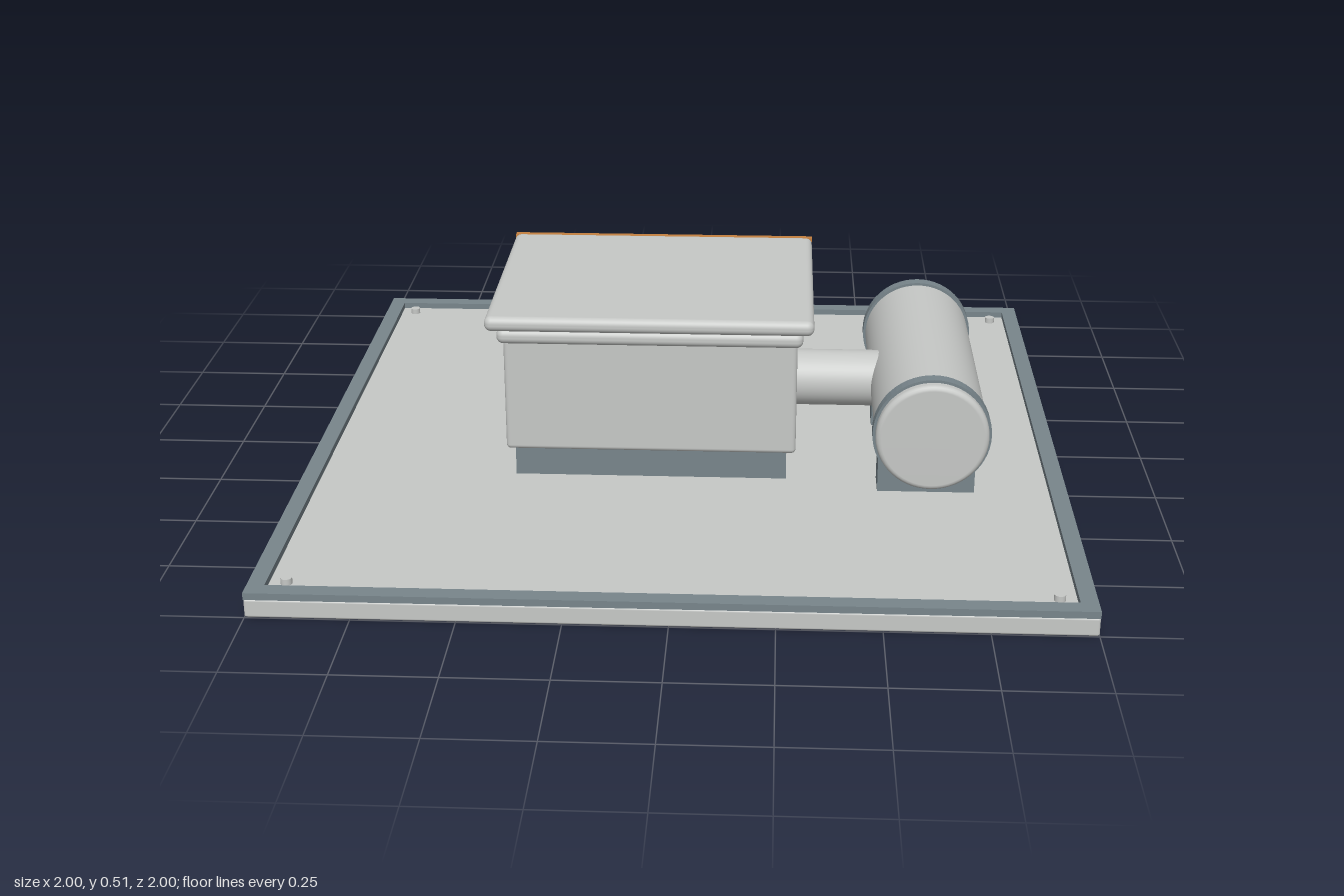
import * as THREE from 'three';
import { RoundedBoxGeometry } from 'three/addons/geometries/RoundedBoxGeometry.js';

const mat = (name, color) => {
  const m = new THREE.MeshStandardMaterial({ color });
  m.name = name;
  return m;
};

export function createModel() {
  const model = new THREE.Group();
  model.name = 'rooftopVentUnit';
  const light = mat('light grey', 0xc6c8c6);
  const dark = mat('slate grey', 0x78858b);
  const copper = mat('copper', 0xc4803f);

  const add = (name, geometry, material, x = 0, y = 0, z = 0) => {
    const mesh = new THREE.Mesh(geometry, material);
    mesh.name = name;
    mesh.position.set(x, y, z);
    model.add(mesh);
    return mesh;
  };
  // Box given by its limits on each axis; r rounds its edges.
  const box = (name, material, [x0, x1], [y0, y1], [z0, z1], r = 0) => {
    const size = [x1 - x0, y1 - y0, z1 - z0];
    const g = r ? new RoundedBoxGeometry(...size, 4, r) : new THREE.BoxGeometry(...size);
    return add(name, g, material, (x0 + x1) / 2, (y0 + y1) / 2, (z0 + z1) / 2);
  };

  // Base slab with a raised square rim
  box('baseSlab', light, [-1, 1], [0, 0.048], [-1, 1], 0.006);
  const square = (shape, h) => shape.moveTo(-h, -h).lineTo(h, -h).lineTo(h, h).lineTo(-h, h).closePath();
  const rimShape = square(new THREE.Shape(), 1);
  rimShape.holes.push(square(new THREE.Path(), 0.957));
  const rimGeo = new THREE.ExtrudeGeometry(rimShape, { depth: 0.018, bevelEnabled: false });
  rimGeo.rotateX(-Math.PI / 2);
  add('baseRim', rimGeo, dark, 0, 0.047, 0);

  // Corner bolts
  for (const x of [-0.915, 0.915]) {
    for (const z of [-0.915, 0.915]) {
      add('cornerBolt', new THREE.CylinderGeometry(0.014, 0.014, 0.02, 20), light, x, 0.054, z);
    }
  }

  // Housing on its plinth, with lip and overhanging roof
  box('plinth', dark, [-0.443, 0.272], [0.045, 0.135], [-0.15, 0.277]);
  box('housing', light, [-0.465, 0.296], [0.128, 0.44], [-0.165, 0.298], 0.012);
  box('housingLip', light, [-0.48, 0.31], [0.43, 0.471], [-0.184, 0.318], 0.018);
  box('roof', light, [-0.508, 0.337], [0.471, 0.511], [-0.355, 0.338], 0.018);
  box('roofEdgeStrip', copper, [-0.508, 0.337], [0.477, 0.506], [-0.373, -0.352]);

  // Louvred grille on the back
  box('grillePanel', dark, [-0.42, 0.245], [0.14, 0.42], [-0.168, -0.16]);
  for (const x of [-0.428, 0.253]) {
    box('grillePost', light, [x - 0.01, x + 0.01], [0.14, 0.415], [-0.176, -0.16]);
  }
  for (let i = 0; i < 8; i++) {
    const slat = add('louvre', new THREE.BoxGeometry(0.665, 0.03, 0.007), dark, -0.0875, 0.16 + i * 0.034, -0.169);
    slat.rotation.x = 0.4;
  }

  // Drain spout
  const spout = add('drainSpout', new THREE.CylinderGeometry(0.017, 0.017, 0.06, 20), dark, -0.36, 0.092, -0.162);
  spout.rotation.x = Math.PI / 2;

  // Connecting pipe
  const pipe = add('connectingPipe', new THREE.CylinderGeometry(0.075, 0.075, 0.28, 40), light, 0.42, 0.26, 0.08);
  pipe.rotation.z = Math.PI / 2;

  // Tank with softly rounded ends
  const L = 0.4, R = 0.143, c = 0.014;
  const profile = [new THREE.Vector2(0, -L), new THREE.Vector2(R - c, -L)];
  const arc = (y, start) => {
    for (let i = 0; i <= 4; i++) {
      const a = start + (i / 4) * Math.PI / 2;
      profile.push(new THREE.Vector2(R - c + c * Math.cos(a), y + c * Math.sin(a)));
    }
  };
  arc(-L + c, -Math.PI / 2);
  arc(L - c, 0);
  profile.push(new THREE.Vector2(R - c, L), new THREE.Vector2(0, L));
  const clean = profile.filter((p, i) => !i || p.distanceTo(profile[i - 1]) > 1e-5);
  const tank = add('tank', new THREE.LatheGeometry(clean, 56), light, 0.637, 0.26, 0.08);
  tank.rotation.x = Math.PI / 2;

  // Tank bands
  for (const z of [-0.276, 0.438]) {
    const ringShape = new THREE.Shape().absarc(0, 0, 0.15, 0, Math.PI * 2);
    ringShape.holes.push(new THREE.Path().absarc(0, 0, 0.14, 0, Math.PI * 2));
    const ring = new THREE.ExtrudeGeometry(ringShape, { depth: 0.033, bevelEnabled: false, curveSegments: 28 });
    add('tankBand', ring, dark, 0.637, 0.26, z - 0.0165);
  }

  // Tank saddles
  for (const z of [-0.125, 0.3]) {
    box('tankSaddle', dark, [0.51, 0.762], [0.045, 0.172], [z - 0.041, z + 0.041]);
  }

  return model;
}
